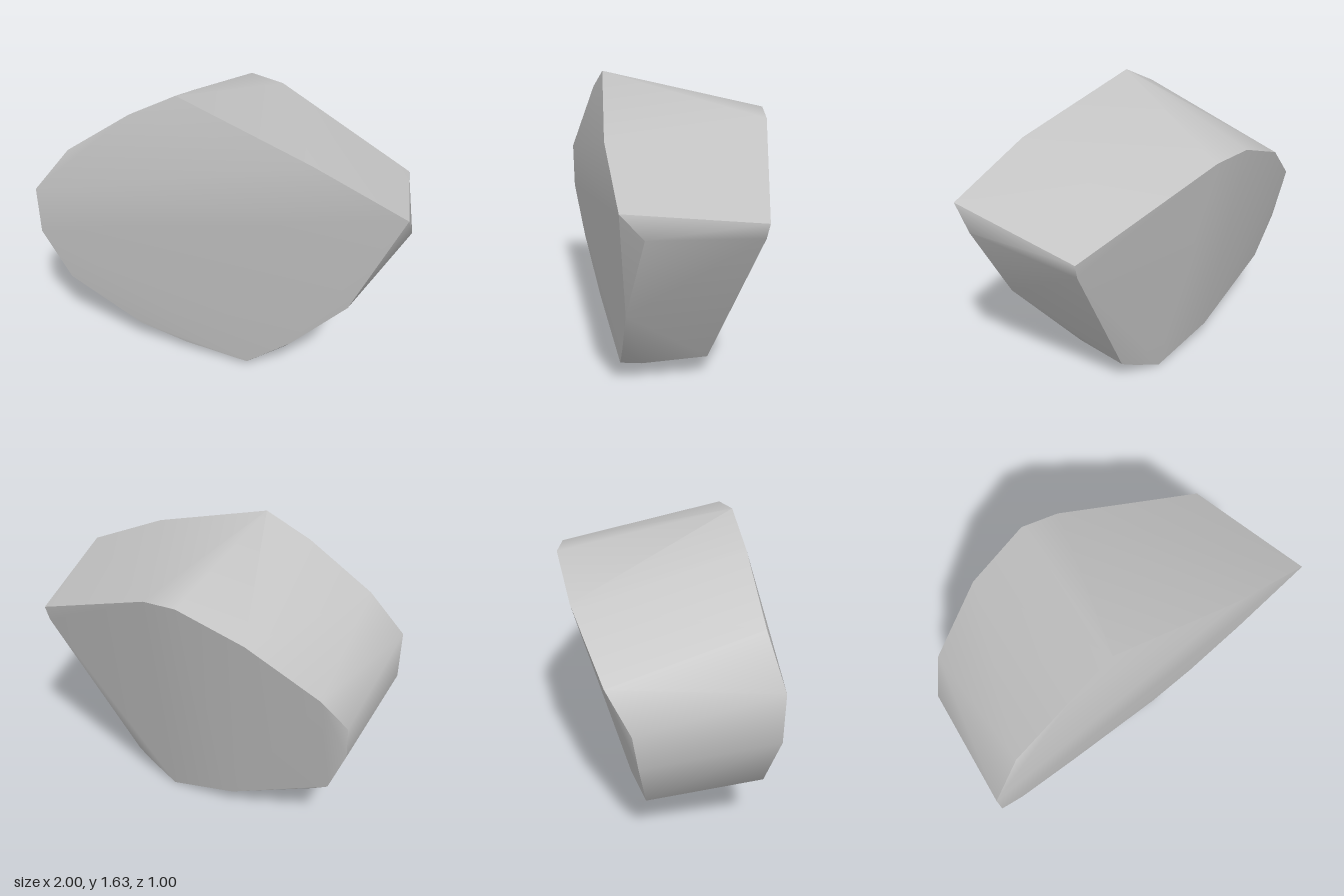
import * as THREE from 'three';
import { ConvexGeometry } from 'three/addons/geometries/ConvexGeometry.js';

// Corners around the front face, clockwise from the peak
const frontRim = [
  [-0.2, 1.63, 0.39], [0.52, 1.42, 0.49], [0.99, 1.22, 0.5], [0.73, 0.6, 0.44],
  [0.43, 0.26, 0.415], [0.17, 0.03, 0.39], [-0.2, 0.08, 0.395], [-0.47, 0.16, 0.41],
  [-0.87, 0.43, 0.45], [-1, 0.74, 0.49], [-1, 1.01, 0.49], [-0.81, 1.25, 0.43],
  [-0.45, 1.5, 0.41],
];

// Corners around the sloping back face, clockwise from the peak
const backRim = [
  [-0.1, 1.41, -0.5], [0.1, 1.39, -0.46], [0.89, 1.08, -0.225], [0.87, 1.0, -0.215],
  [0.4, 0.14, -0.06], [0.31, 0.09, -0.08], [0.13, 0, -0.11], [-0.27, 0.1, -0.15],
  [-0.75, 0.28, -0.125], [-0.83, 0.33, -0.14], [-0.93, 0.6, -0.19], [-0.93, 0.79, -0.22],
  [-0.81, 0.99, -0.335], [-0.45, 1.27, -0.46],
];

// Chipped corners on the side between the two rims
const sideChips = [[1, 1.09, 0.39], [0.36, 0.12, 0.3]];

// Blend normals by facet area, keeping edges sharper than the crease angle
function softenFacets(geometry, crease) {
  const position = geometry.attributes.position;
  const corner = (i) => new THREE.Vector3().fromBufferAttribute(position, i);
  const facets = [];
  for (let i = 0; i < position.count; i += 3) {
    const points = [corner(i), corner(i + 1), corner(i + 2)];
    const area = points[1].clone().sub(points[0]).cross(points[2].clone().sub(points[0]));
    facets.push({ points, area });
  }
  facets.forEach((facet, f) => facet.points.forEach((point, k) => {
    const normal = new THREE.Vector3();
    for (const other of facets) {
      const touches = other.points.some((p) => p.distanceTo(point) < 1e-5);
      if (touches && other.area.angleTo(facet.area) < crease) normal.add(other.area);
    }
    normal.normalize();
    geometry.attributes.normal.setXYZ(f * 3 + k, normal.x, normal.y, normal.z);
  }));
  return geometry;
}

export function createModel() {
  const stone = new THREE.MeshStandardMaterial({ color: 0xc3c3c3 });
  stone.name = 'grey stone';

  // The boulder is the hull of its corners, with soft facets and sharp rims
  const corners = [...frontRim, ...backRim, ...sideChips].map((p) => new THREE.Vector3(...p));
  const boulder = new THREE.Mesh(softenFacets(new ConvexGeometry(corners), 0.77), stone);
  boulder.name = 'boulder';

  const group = new THREE.Group();
  group.name = 'rock';
  group.add(boulder);
  return group;
}
